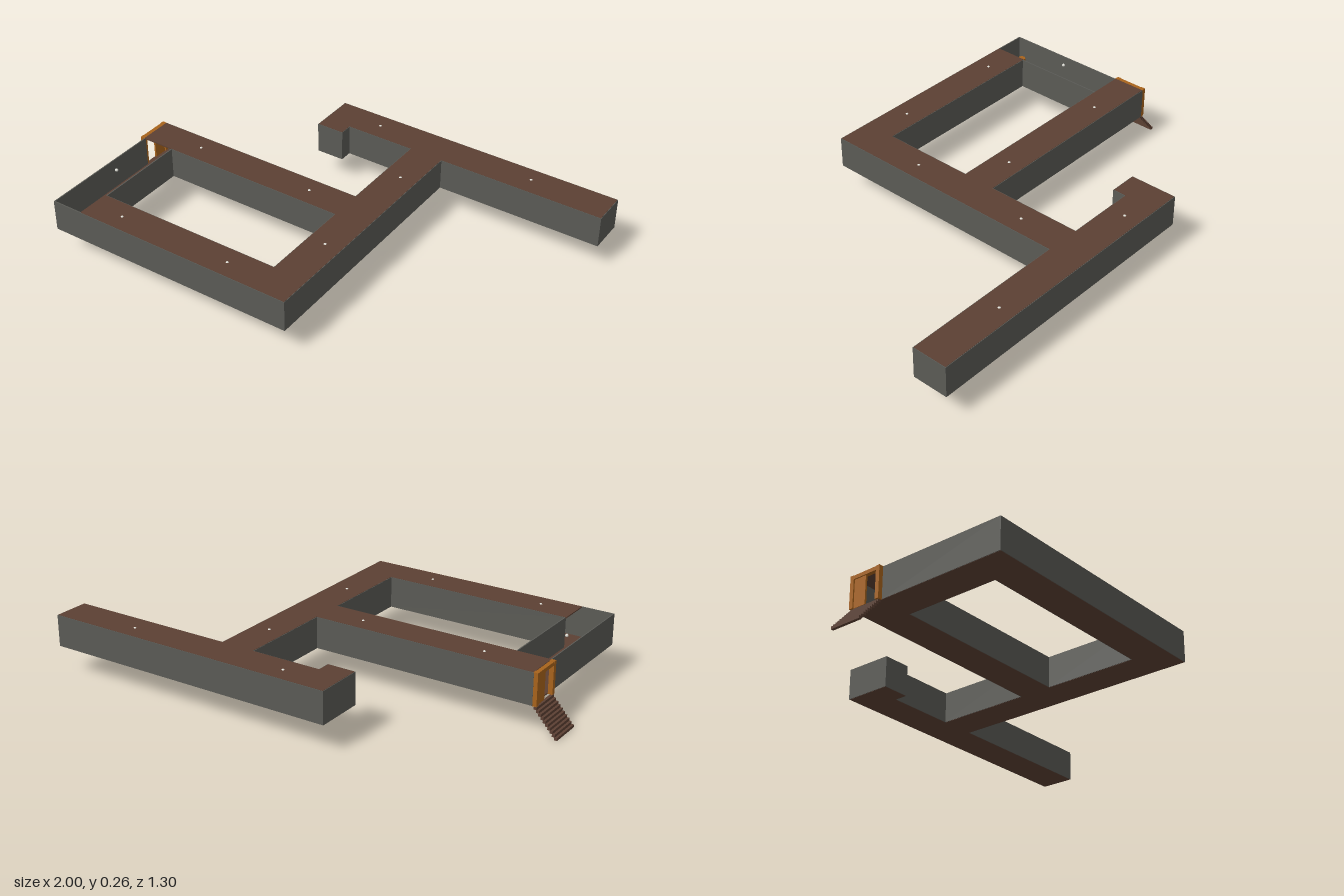
import * as THREE from 'three';

const material = (name, color, side = THREE.FrontSide) => {
  const m = new THREE.MeshStandardMaterial({ color, side });
  m.name = name;
  return m;
};

export function createModel() {
  const root = new THREE.Group();
  root.name = 'corridorComplex';
  const wood = material('dark brown wood', 0x5c4033);
  const stone = material('grey stone', 0x5a5a55);
  const orange = material('orange wood', 0xa8631c);
  const white = material('lamp white', 0xd8d8d0);

  const add = (name, geometry, mat, x, y, z, parent = root) => {
    const mesh = new THREE.Mesh(geometry, mat);
    mesh.name = name;
    mesh.position.set(x, y, z);
    parent.add(mesh);
    return mesh;
  };
  const box = (name, w, h, d, mat, x, y, z, parent) =>
    add(name, new THREE.BoxGeometry(w, h, d), mat, x, y, z, parent);

  // Plan points are x, z
  const FLOOR = 0.12, TOP = 0.26, T = 0.005;
  const backWing = [
    [-0.89, -0.07], [0.105, -0.07], [0.105, -0.5], [-0.21, -0.5],
    [-0.21, -0.442], [-0.332, -0.442], [-0.332, -0.65], [0.997, -0.65],
    [0.997, -0.497], [0.257, -0.497], [0.257, 0.645],
  ];
  const outline = [...backWing, [-0.888, 0.645]];
  const courtyard = [[-0.74, 0.077], [0.105, 0.077], [0.105, 0.497], [-0.74, 0.497]];
  const roofPlan = [
    ...backWing, [-0.745, 0.645], [-0.745, 0.497], [0.105, 0.497],
    [0.105, 0.077], [-0.89, 0.077],
  ];
  const toPoints = (list) => list.map(([x, z]) => new THREE.Vector2(x, z));
  const slab = (name, plan, hole, top) => {
    const shape = new THREE.Shape(toPoints(plan));
    if (hole) shape.holes.push(new THREE.Path(toPoints(hole)));
    const g = new THREE.ExtrudeGeometry(shape, { depth: T, bevelEnabled: false });
    g.rotateX(Math.PI / 2);
    add(name, g, wood, 0, top, 0);
  };
  slab('floor', outline, courtyard, FLOOR + T);
  slab('ceiling', roofPlan, null, TOP);

  // Thin walls follow the outline and courtyard, leaving the doorway open
  const walls = new THREE.Group();
  walls.name = 'walls';
  root.add(walls);
  const runWalls = (points) => {
    for (let i = 0; i + 1 < points.length; i++) {
      const [ax, az] = points[i], [bx, bz] = points[i + 1];
      box('wall', Math.abs(bx - ax) + T, TOP - FLOOR - 0.002, Math.abs(bz - az) + T, stone,
        (ax + bx) / 2, (FLOOR + TOP) / 2, (az + bz) / 2, walls);
    }
  };
  runWalls([...outline, [-0.888, 0.077]]);
  runWalls([...courtyard, courtyard[0]]);

  // Entrance frame with a partly covering door leaf
  for (const z of [-0.063, 0.07])
    box('doorPost', 0.02, TOP - FLOOR, 0.018, orange, -0.9, (TOP + FLOOR) / 2, z);
  box('doorLintel', 0.018, 0.016, 0.125, orange, -0.9, TOP - 0.009, 0.003);
  box('doorLeaf', 0.008, 0.125, 0.06, orange, -0.9, FLOOR + 0.063, -0.026);

  // Entrance stairs
  const steps = 10;
  for (let i = 0; i < steps; i++)
    box('step', 0.0125, 0.0115, 0.144, wood, -0.9938 + i * 0.0102, 0.0058 + i * 0.0116, 0.007);

  // Small ceiling lamps
  const lamps = [[-0.1, -0.58], [0.64, -0.58], [0.183, -0.29], [0.183, 0.265], [-0.64, 0],
    [-0.077, 0], [-0.83, 0.33], [-0.59, 0.573], [-0.062, 0.573]];
  for (const [x, z] of lamps)
    add('lamp', new THREE.SphereGeometry(0.007, 12, 8), white, x, 0.257, z);

  // Barrel in the open corner
  add('barrel', new THREE.CylinderGeometry(0.017, 0.017, 0.045, 12), orange, -0.865, FLOOR + T + 0.0225, 0.61);
  return root;
}
